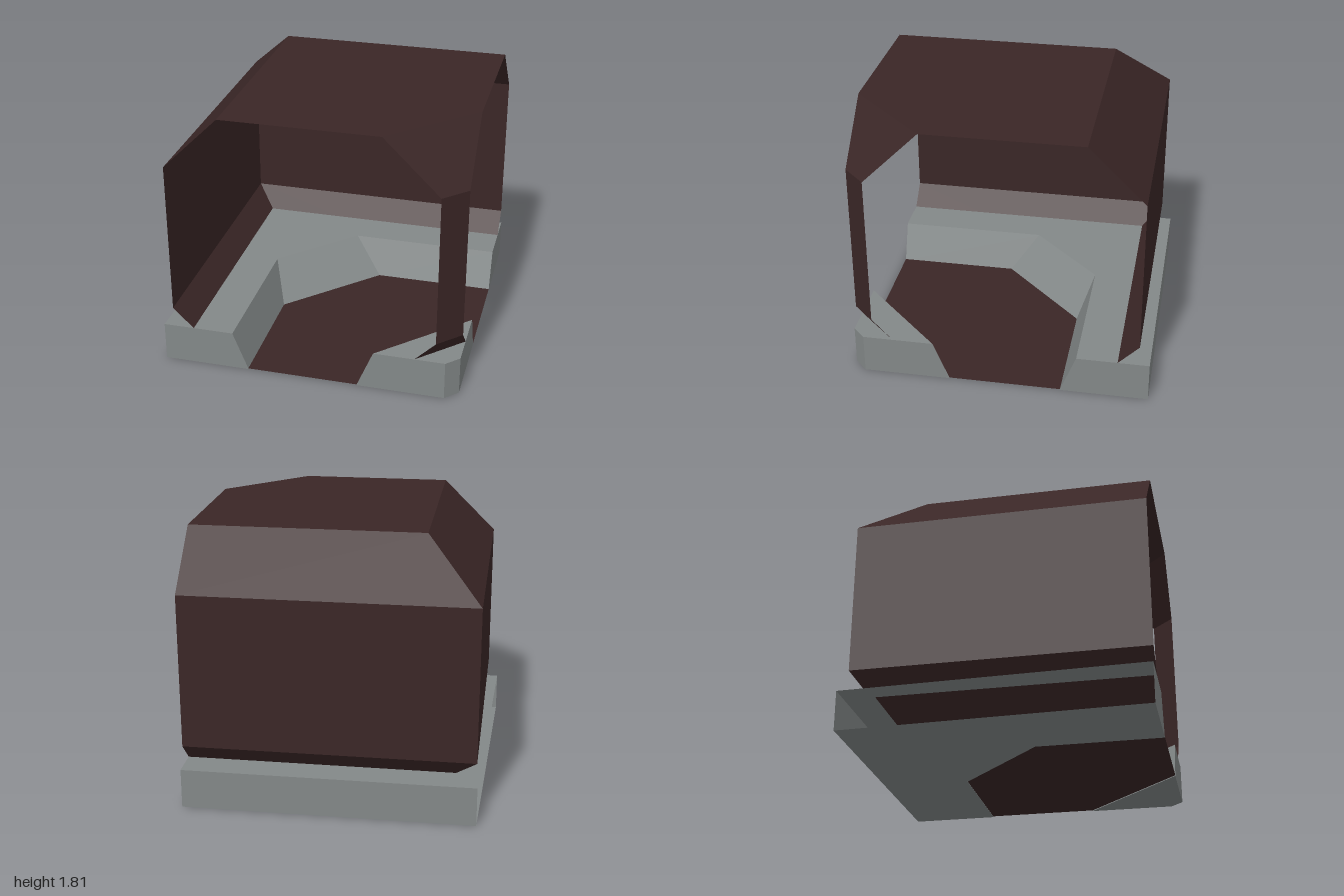
import * as THREE from 'three';

const shellBrown = new THREE.MeshStandardMaterial({ color: 0x3a2626, side: THREE.DoubleSide });
shellBrown.name = 'darkBrown';
const baseGrey = new THREE.MeshStandardMaterial({ color: 0x838888, side: THREE.DoubleSide });
baseGrey.name = 'grey';

// Joins stacked outlines { y, points: [[x, z], ...] }, counter-clockwise from above.
// Only the listed sides are made; caps close the bottom and top.
function loft(name, material, rings, sides, { bottom = false, top = false } = {}) {
  const positions = [];
  const add = (ring, i) => positions.push(ring.points[i][0], ring.y, ring.points[i][1]);
  const n = rings[0].points.length;
  for (let r = 0; r + 1 < rings.length; r++) {
    const lo = rings[r], hi = rings[r + 1];
    for (const i of sides) {
      const j = (i + 1) % n;
      add(lo, i); add(lo, j); add(hi, j);
      add(lo, i); add(hi, j); add(hi, i);
    }
  }
  const cap = (ring, up) => {
    const contour = ring.points.map(([x, z]) => new THREE.Vector2(x, -z));
    for (const [a, b, c] of THREE.ShapeUtils.triangulateShape(contour, [])) {
      for (const i of up ? [a, b, c] : [a, c, b]) add(ring, i);
    }
  };
  if (bottom) cap(rings[0], false);
  if (top) cap(rings[rings.length - 1], true);
  const geometry = new THREE.BufferGeometry();
  geometry.setAttribute('position', new THREE.Float32BufferAttribute(positions, 3));
  geometry.computeVertexNormals();
  const mesh = new THREE.Mesh(geometry, material);
  mesh.name = name;
  return mesh;
}

export function createModel() {
  const model = new THREE.Group();
  model.name = 'cornerRoom';

  // Room outline: w = distance to the two walls, c = start of the cut corner
  const room = (y, w, c) => ({ y, points: [[-w, 1], [c, 1], [1, c], [1, -w], [-w, -w]] });
  const floor = room(0.006, 0.53, 0.45);
  const sill = room(0.405, 0.93, 0.85);
  const eave = room(1.445, 0.93, 0.85);
  const ceiling = room(1.81, 0.56, 0.48);
  const levels = [floor, sill, eave, ceiling];

  const shell = new THREE.Group();
  shell.name = 'shell';
  shell.add(
    loft('walls', shellBrown, levels, [3, 4]),
    loft('cornerPillar', shellBrown, levels, [1]),
    loft('floor', shellBrown, [floor], [], { bottom: true }),
    loft('roof', shellBrown, [ceiling], [], { top: true }),
  );

  // L-shaped plinth with sloped inner faces; its left side is open
  const plinth = (y, a, b) => ({
    y, points: [[-1, 1], [a, 1], [a, b], [b, a], [1, a], [1, -1], [-0.94, -1]],
  });
  const plinthMesh = loft('plinth', baseGrey,
    [plinth(0, -0.415, 0.17), plinth(0.267, -0.52, -0.03)],
    [0, 1, 2, 3, 4, 5], { bottom: true, top: true });

  // Chamfered block under the pillar
  const block = (y, s) => ({ y, points: [[s, 1], [0.915, 1], [1, 0.915], [1, s]] });
  const blockMesh = loft('pillarBlock', baseGrey,
    [block(0, 0.33), block(0.267, 0.44)], [0, 1, 2, 3], { bottom: true, top: true });

  model.add(shell, plinthMesh, blockMesh);
  return model;
}
